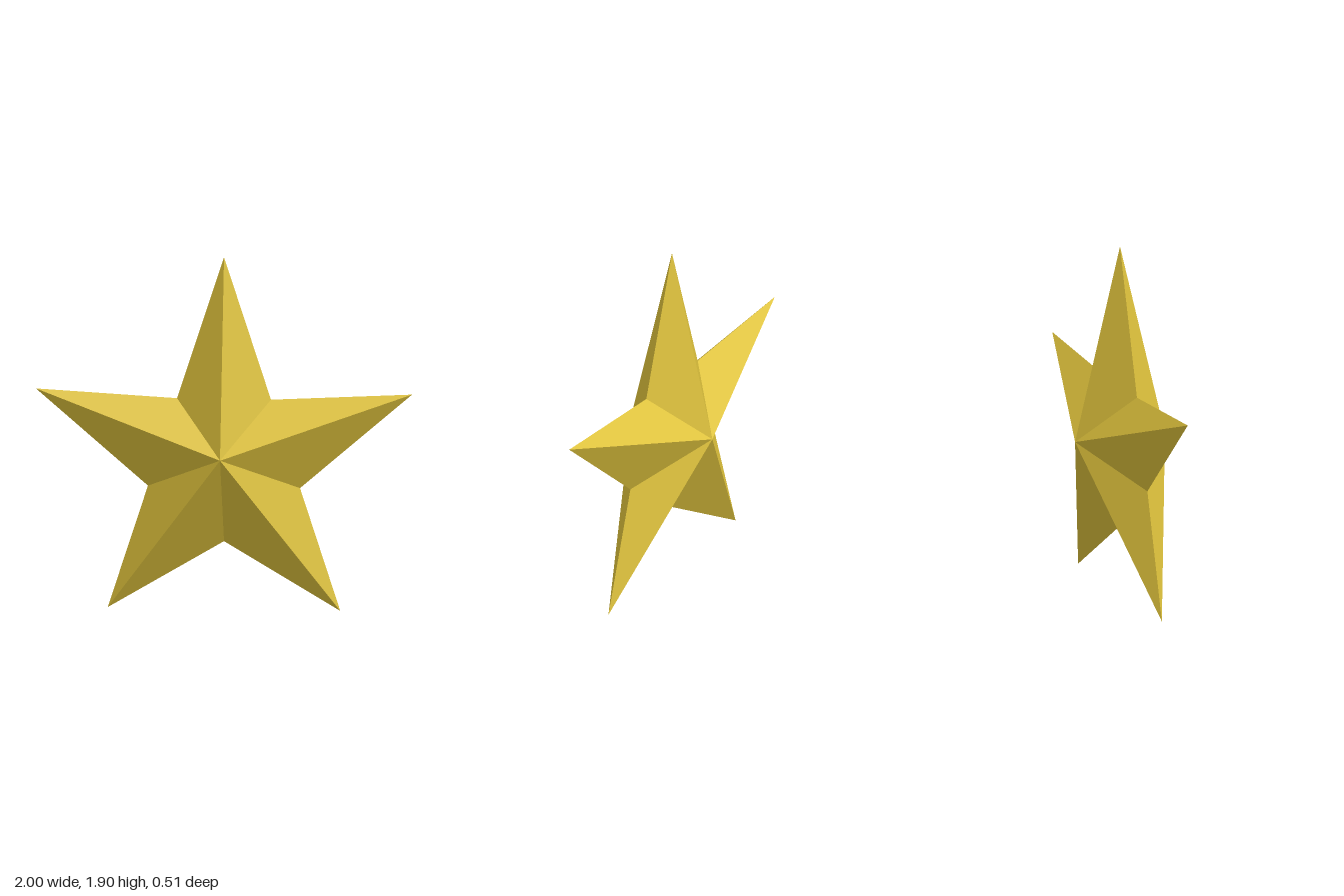
import * as THREE from 'three';

const TIP_RADIUS = 1.0515, TIP_CENTRE = 0.851;       // circle through the five tips
const NOTCH_RADIUS = 0.425, NOTCH_CENTRE = 0.792;    // circle through the notches, set slightly lower
const DEPTH = 0.255;

// Outline of the star, counter-clockwise from the top tip
function starOutline() {
  const points = [];
  for (let i = 0; i < 10; i++) {
    const a = Math.PI / 2 + i * Math.PI / 5;
    const r = i % 2 ? NOTCH_RADIUS : TIP_RADIUS;
    const cy = i % 2 ? NOTCH_CENTRE : TIP_CENTRE;
    points.push([r * Math.cos(a), cy + r * Math.sin(a), 0]);
  }
  return points;
}

// Facets fanning from the front and back peaks to the outline
function starGeometry() {
  const outline = starOutline();
  const front = [0, TIP_CENTRE + 0.002, DEPTH], back = [0, TIP_CENTRE + 0.002, -DEPTH];
  const positions = [];
  outline.forEach((p, i) => {
    const q = outline[(i + 1) % outline.length];
    positions.push(...front, ...p, ...q, ...back, ...q, ...p);
  });
  const geometry = new THREE.BufferGeometry();
  geometry.setAttribute('position', new THREE.Float32BufferAttribute(positions, 3));
  geometry.computeVertexNormals();
  return geometry;
}

export function createModel() {
  const group = new THREE.Group();
  group.name = 'fivePointedStar';
  const gold = new THREE.MeshStandardMaterial({ color: 0xdec23c, flatShading: true });
  const star = new THREE.Mesh(starGeometry(), gold);
  star.name = 'starBody';
  group.add(star);
  return group;
}
